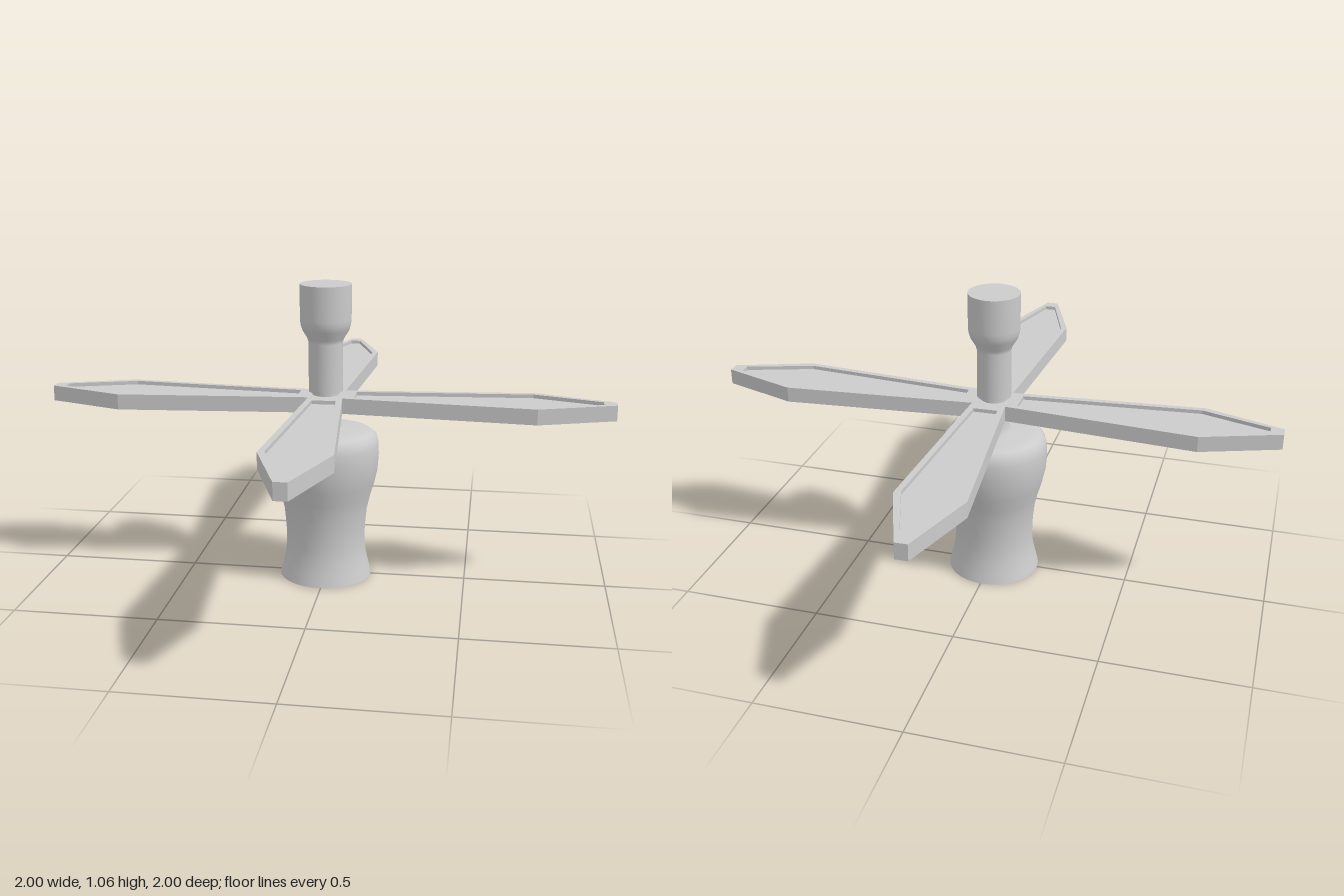
import * as THREE from 'three';

const material = new THREE.MeshStandardMaterial({ color: 0xcccccc, side: THREE.DoubleSide });
const vec = ([x, y]) => new THREE.Vector2(x, y);

function lathe(name, points) {
  const mesh = new THREE.Mesh(new THREE.LatheGeometry(points.map(vec), 32), material);
  mesh.name = name;
  return mesh;
}

// Symmetric outline along +x, mirrored from half-width points [distance, halfWidth]
function outline(half) {
  const mirrored = half.filter((p) => p[1] > 0).reverse().map(([x, y]) => [x, -y]);
  return [...half, ...mirrored].map(vec);
}

// Slab lying flat between two heights
function slab(name, shape, y0, y1) {
  const geometry = new THREE.ExtrudeGeometry(shape, { depth: y1 - y0, bevelEnabled: false });
  geometry.rotateX(-Math.PI / 2).translate(0, y0, 0);
  const mesh = new THREE.Mesh(geometry, material);
  mesh.name = name;
  return mesh;
}

// Blade: raised rim around a panel recessed on both faces
function blade(angle) {
  const group = new THREE.Group();
  const inner = outline([[0.1, 0.042], [0.72, 0.094], [0.955, 0.019]]);
  const rim = new THREE.Shape(outline([[0, 0], [0.06, 0.06], [0.73, 0.115], [1, 0.021]]));
  rim.holes.push(new THREE.Path(inner));
  group.add(slab('bladeRim', rim, 0.615, 0.67));
  group.add(slab('bladePanel', new THREE.Shape(inner), 0.628, 0.657));
  group.rotation.y = angle;
  group.name = 'blade';
  return group;
}

export function createModel() {
  const model = new THREE.Group();
  model.name = 'ceilingFan';

  const column = new THREE.Group();
  column.name = 'column';
  column.position.set(-0.005, 0, 0);

  // Motor housing, open underneath
  column.add(lathe('housing', [
    [0.165, 0], [0.155, 0.04], [0.146, 0.08], [0.141, 0.13], [0.143, 0.19], [0.149, 0.25],
    [0.16, 0.3], [0.175, 0.35], [0.186, 0.4], [0.19, 0.45], [0.189, 0.49], [0.182, 0.52],
    [0.165, 0.535], [0.13, 0.543], [0.06, 0.548],
  ]));
  // Neck through the blade hub
  column.add(lathe('neck', [
    [0.066, 0.546], [0.06, 0.553], [0.053, 0.57], [0.049, 0.6], [0.047, 0.65], [0.047, 0.685],
  ]));
  // Mounting rod with its flared cap
  column.add(lathe('rodBase', [[0.046, 0.682], [0.06, 0.682]]));
  column.add(lathe('rod', [
    [0.06, 0.682], [0.06, 0.855], [0.064, 0.87], [0.082, 0.9], [0.088, 0.92], [0.09, 0.94], [0.09, 1.06],
  ]));
  column.add(lathe('capTop', [[0.09, 1.06], [0, 1.06]]));
  model.add(column);

  // Four blades; one pair sits slightly off square
  const blades = new THREE.Group();
  blades.name = 'blades';
  for (let i = 0; i < 4; i++) {
    blades.add(blade((i * Math.PI) / 2 + (i % 2 ? 0.017 : 0)));
  }
  model.add(blades);
  return model;
}
